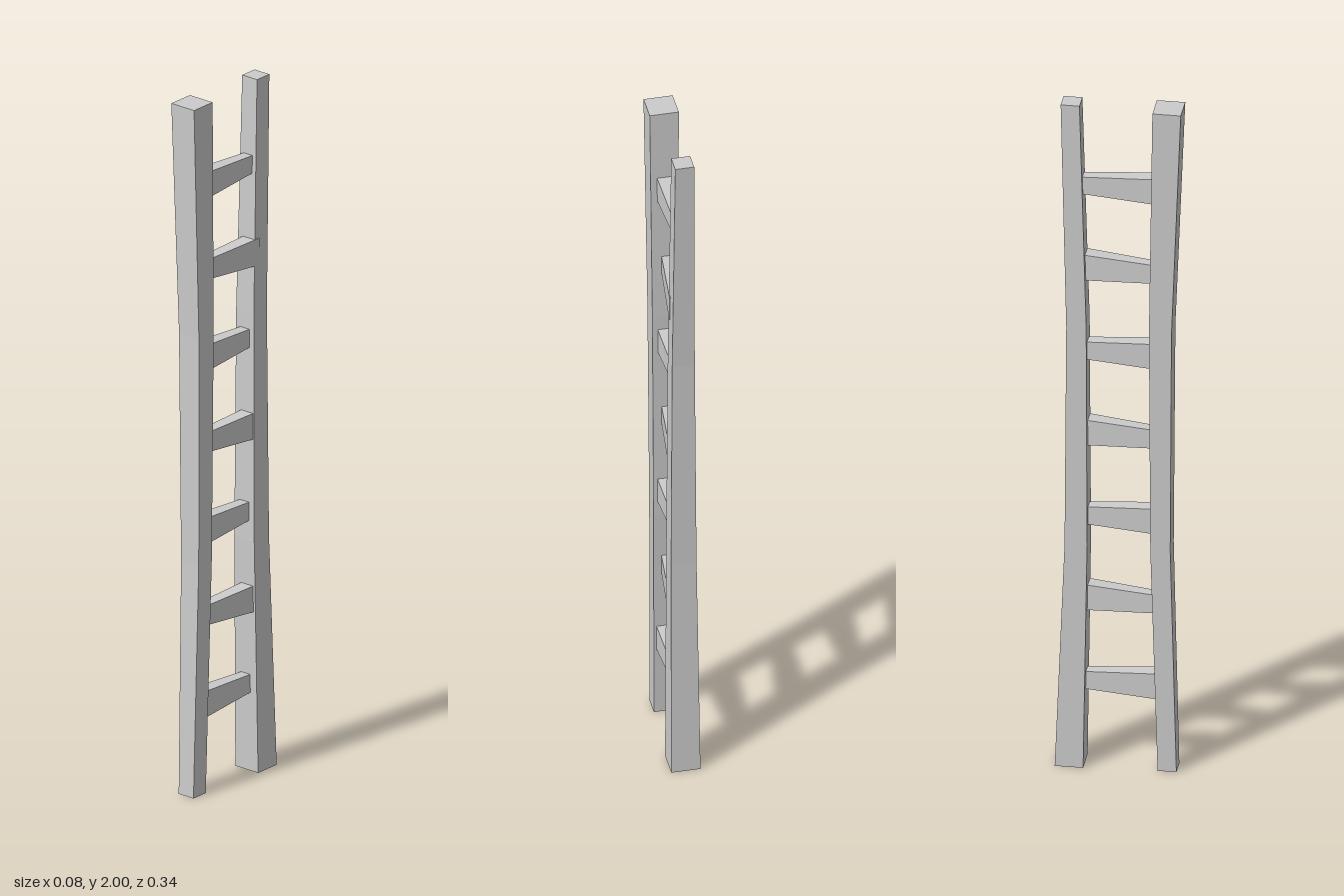
import * as THREE from 'three';

const material = new THREE.MeshStandardMaterial({ color: 0xcccccc, flatShading: true });

// Skins a closed four-sided bar through sections of [x0, x1, y0, y1], stacked along z
function bar(sections) {
  const pos = [], idx = [], last = (sections.length - 1) * 4;
  for (const [z, x0, x1, y0, y1] of sections) {
    pos.push(x0, y0, z, x1, y0, z, x1, y1, z, x0, y1, z);
  }
  for (let s = 0; s < last; s += 4) {
    for (let i = 0; i < 4; i++) {
      const a = s + i, b = s + (i + 1) % 4;
      idx.push(a, b, b + 4, a, b + 4, a + 4);
    }
  }
  idx.push(0, 2, 1, 0, 3, 2, last, last + 1, last + 2, last, last + 2, last + 3);
  const indexed = new THREE.BufferGeometry();
  indexed.setAttribute('position', new THREE.Float32BufferAttribute(pos, 3));
  indexed.setIndex(idx);
  const geometry = indexed.toNonIndexed();
  geometry.computeVertexNormals();
  return geometry;
}

export function createModel() {
  const model = new THREE.Group();
  model.name = 'ladder';
  const add = (name, geometry) => {
    const mesh = new THREE.Mesh(geometry, material);
    mesh.name = name;
    model.add(mesh);
    return mesh;
  };

  // Bowed, tapering rail: height, half width, inner and outer depth
  const profile = [
    [0, 0.04, 0.094, 0.171],
    [0.67, 0.035, 0.084, 0.145],
    [1.33, 0.031, 0.087, 0.141],
    [2, 0.026, 0.106, 0.157],
  ];
  const rail = bar(profile.map(([h, w, inner, outer]) => [h, -w, w, -outer, -inner]));
  rail.rotateX(-Math.PI / 2); // stand the bar upright
  rail.rotateY(Math.PI);
  add('frontRail', rail);

  // The back rail is the same piece turned upside down
  const backRail = add('backRail', rail);
  backRail.rotation.x = Math.PI;
  backRail.position.y = 2;

  // Rungs taper alternately toward the back and the front
  for (let i = 0; i < 7; i++) {
    const y = 0.253 + i * 0.25;
    const rung = i % 2 === 0
      ? [[-0.11, -0.015, 0.015, -0.024, 0.026], [0.115, -0.023, 0.021, -0.039, 0.039]]
      : [[-0.11, -0.011, 0.032, -0.039, 0.039], [0.115, -0.023, 0.006, -0.027, 0.026]];
    add(`rung${i + 1}`, bar(rung)).position.y = y;
  }
  return model;
}
